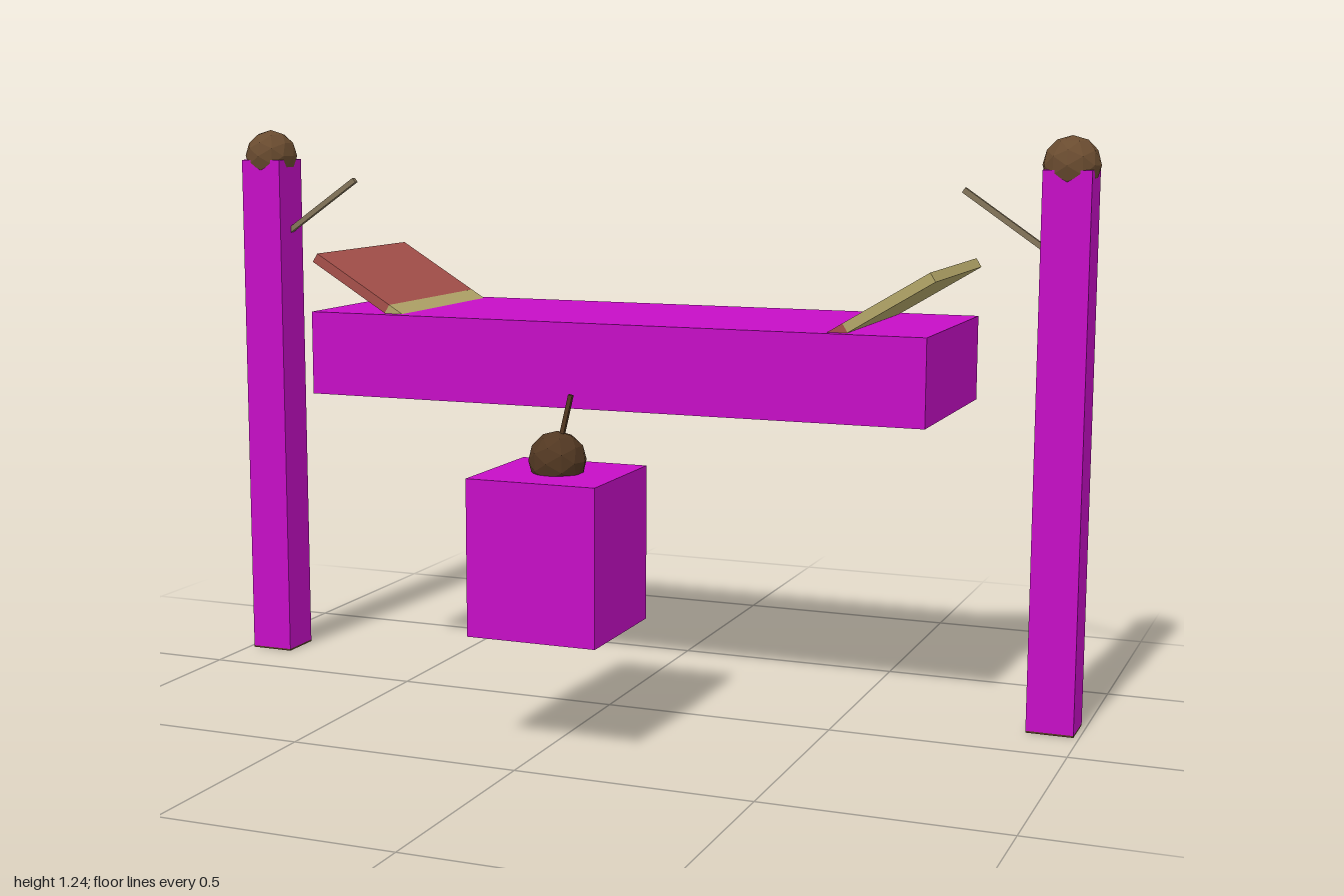
import * as THREE from 'three';

const mat = (color) => new THREE.MeshStandardMaterial({ color, flatShading: true });

export function createModel() {
  const model = new THREE.Group();
  const magenta = mat(0xc60ec6), brown = mat(0x6a4c30), darkBrown = mat(0x523822);
  const red = mat(0xa5504a), tan = mat(0xb3a668), wood = mat(0x84755a);
  const axisZ = -0.19;

  const box = (name, size, pos, material, parent = model) => {
    const mesh = new THREE.Mesh(new THREE.BoxGeometry(...size), material);
    mesh.name = name;
    mesh.position.set(...pos);
    parent.add(mesh);
    return mesh;
  };
  const ball = (name, pos, material) => {
    const mesh = new THREE.Mesh(new THREE.IcosahedronGeometry(0.06, 1), material);
    mesh.name = name;
    mesh.position.set(...pos);
    model.add(mesh);
  };
  // Square bar laid between two points in the x-y plane
  const bar = (name, [x0, y0], [x1, y1], z, thick, depth, material) => {
    const length = Math.hypot(x1 - x0, y1 - y0);
    const mesh = box(name, [length, thick, depth], [(x0 + x1) / 2, (y0 + y1) / 2, z], material);
    mesh.rotation.z = Math.atan2(y1 - y0, x1 - x0);
  };

  // Long platform and the block in front of it
  box('platform', [1.405, 0.185, 0.47], [0, 0.7525, axisZ], magenta);
  box('block', [0.28, 0.325, 0.28], [0, 0.4025, 0.28], magenta);
  ball('blockKnob', [0, 0.59, 0.28], darkBrown);
  bar('blockStick', [0.005, 0.62], [0.03, 0.725], 0.28, 0.009, 0.009, darkBrown);

  for (const s of [-1, 1]) {
    const side = s > 0 ? 'left' : 'right';
    const main = s > 0 ? tan : red;
    const trim = s > 0 ? red : tan;

    // End post with a dark foot and a knob
    box(side + 'Post', [0.1, 1.171, 0.1], [s * 0.938, 0.5895, axisZ + 0.003], magenta);
    box(side + 'Foot', [0.1, 0.004, 0.1], [s * 0.938, 0.002, axisZ + 0.003], darkBrown);
    ball(side + 'PostKnob', [s * 0.938, 1.184, axisZ + 0.003], brown);

    // Rod slanting inward from the post
    bar(side + 'Rod', [s * 0.92, 0.99], [s * 0.717, 1.13], axisZ, 0.012, 0.012, wood);

    // Tilted board with a contrasting strip sunk into the platform
    bar(side + 'Board', [s * 0.706, 0.964], [s * 0.526, 0.855], axisZ, 0.022, 0.42, main);
    bar(side + 'BoardStrip', [s * 0.526, 0.855], [s * 0.46, 0.815], axisZ, 0.022, 0.42, trim);
  }
  return model;
}
